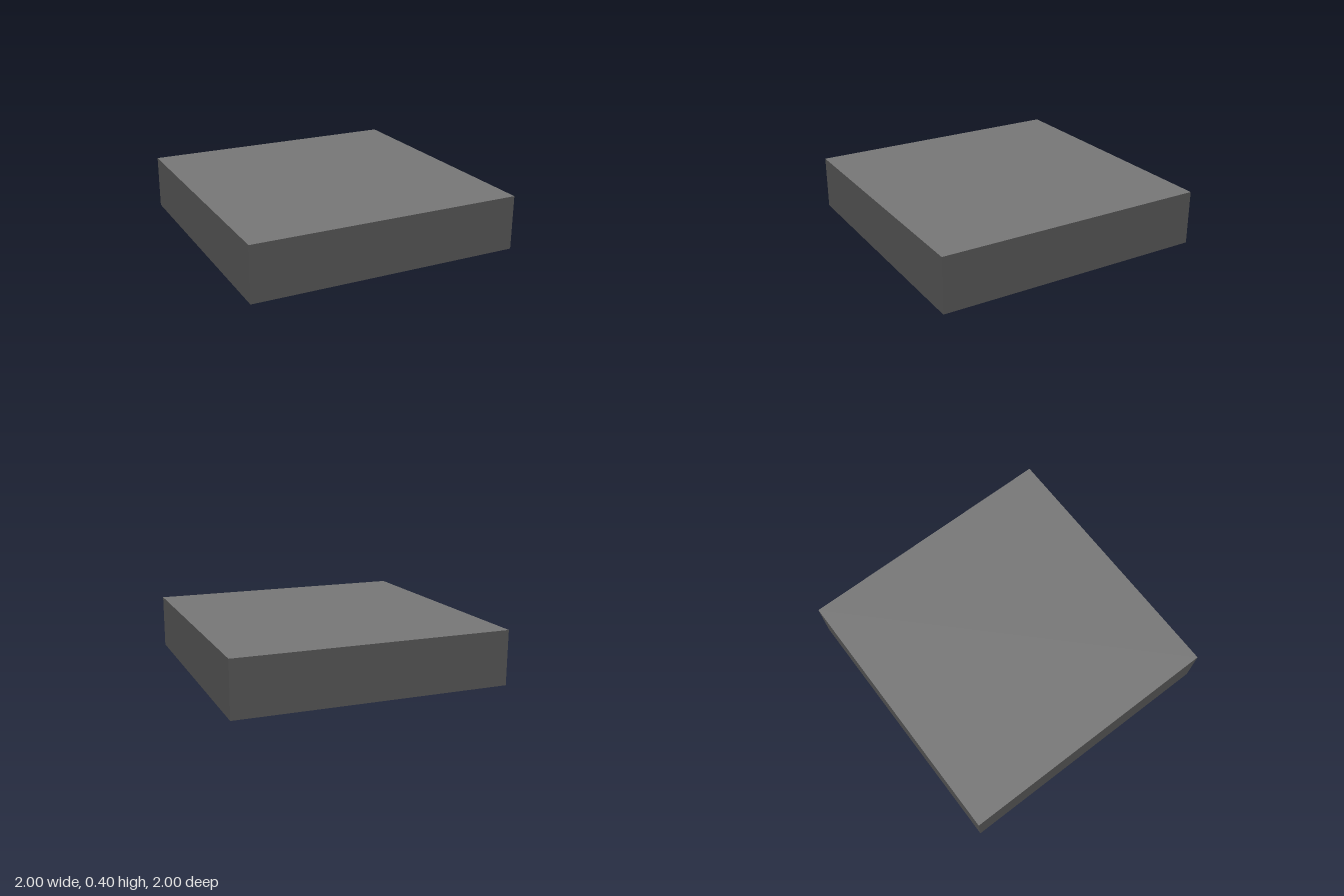
import * as THREE from 'three';

const mat = (color, extra = {}) => new THREE.MeshStandardMaterial({ color, ...extra });
const shapeOf = (pts) => new THREE.Shape(pts.map(([x, y]) => new THREE.Vector2(x, y)));
const rect = (w, d, cx = 0, cy = 0) => [
  [cx - w, cy - d], [cx + w, cy - d], [cx + w, cy + d], [cx - w, cy + d],
];

// Open four-sided funnel between two rectangles (half sizes) at two heights
function funnel(w0, d0, y0, w1, d1, y1) {
  const pos = [];
  for (const [w, d, y] of [[w0, d0, y0], [w1, d1, y1]]) {
    for (const [x, z] of rect(w, d)) pos.push(x, y, z);
  }
  const index = [];
  for (let i = 0; i < 4; i++) {
    const j = (i + 1) % 4;
    index.push(i, j, j + 4, i, j + 4, i + 4);
  }
  const g = new THREE.BufferGeometry();
  g.setAttribute('position', new THREE.Float32BufferAttribute(pos, 3));
  g.setIndex(index);
  const flat = g.toNonIndexed();
  flat.computeVertexNormals();
  return flat;
}

export function createModel() {
  const model = new THREE.Group();
  const housing = mat(0x515151);
  const cover = mat(0x777777);
  const lining = mat(0x777777, { side: THREE.DoubleSide });
  const recess = mat(0xa0a0a0, { side: THREE.DoubleSide });
  const green = mat(0x10c010);
  const dark = mat(0x303030);

  // Everything in the underside runs sideways, along x
  const fittings = new THREE.Group();
  fittings.name = 'lampFittings';
  fittings.rotation.y = Math.PI / 2;
  model.add(fittings);

  const add = (parent, name, geometry, material, x = 0, y = 0, z = 0) => {
    const mesh = new THREE.Mesh(geometry, material);
    mesh.name = name;
    mesh.position.set(x, y, z);
    parent.add(mesh);
  };

  const half = 0.87;      // half width of the underside opening
  const panelHalf = 0.354;
  const panelY = 0.12;
  const recessY = 0.18;
  const recessZ = 0.61;

  // Housing: upper slab with a lighter top face, over a square rim
  const slabMats = [housing, housing, cover, housing, housing, housing];
  add(model, 'housingTop', new THREE.BoxGeometry(2, 0.2, 2), slabMats, 0, 0.3, 0);
  const rim = shapeOf(rect(1, 1));
  rim.holes.push(shapeOf(rect(half, half)));
  const rimGeo = new THREE.ExtrudeGeometry(rim, { depth: 0.2, bevelEnabled: false });
  add(model, 'housingRim', rimGeo.rotateX(-Math.PI / 2), housing);

  // Central panel with two recess openings, facing down
  const panel = shapeOf(rect(panelHalf, half));
  for (const s of [-1, 1]) panel.holes.push(shapeOf(rect(0.33, 0.075, 0, s * recessZ)));
  add(fittings, 'centrePanel', new THREE.ShapeGeometry(panel).rotateX(Math.PI / 2), lining, 0, panelY, 0);

  for (const s of [-1, 1]) {
    // Tapered recess with a green strip at its base
    add(fittings, 'recessWalls', funnel(0.33, 0.075, panelY, 0.23, 0.03, recessY), recess, 0, 0, s * recessZ);
    add(fittings, 'recessStrip', new THREE.BoxGeometry(0.46, 0.018, 0.06), green, 0, recessY + 0.009, s * recessZ);

    // Sloped reflector trough beside the panel
    const trough = shapeOf([
      [s * half, 0], [s * 0.55, 0.18], [s * panelHalf, panelY], [s * panelHalf, 0.2], [s * half, 0.2],
    ]);
    const troughGeo = new THREE.ExtrudeGeometry(trough, { depth: 2 * half, bevelEnabled: false });
    add(fittings, 'reflectorTrough', troughGeo, lining, 0, 0, -half);

    // Long tube with a dark socket at each end
    const tube = new THREE.CylinderGeometry(0.095, 0.095, 1.66, 32).rotateX(Math.PI / 2);
    add(fittings, 'tube', tube, green, s * 0.56, 0.112, 0);
    for (const e of [-1, 1]) {
      const socket = new THREE.CylinderGeometry(0.1, 0.1, 0.04, 32).rotateX(Math.PI / 2);
      add(fittings, 'tubeSocket', socket, dark, s * 0.56, 0.112, e * 0.85);
    }
  }
  return model;
}
